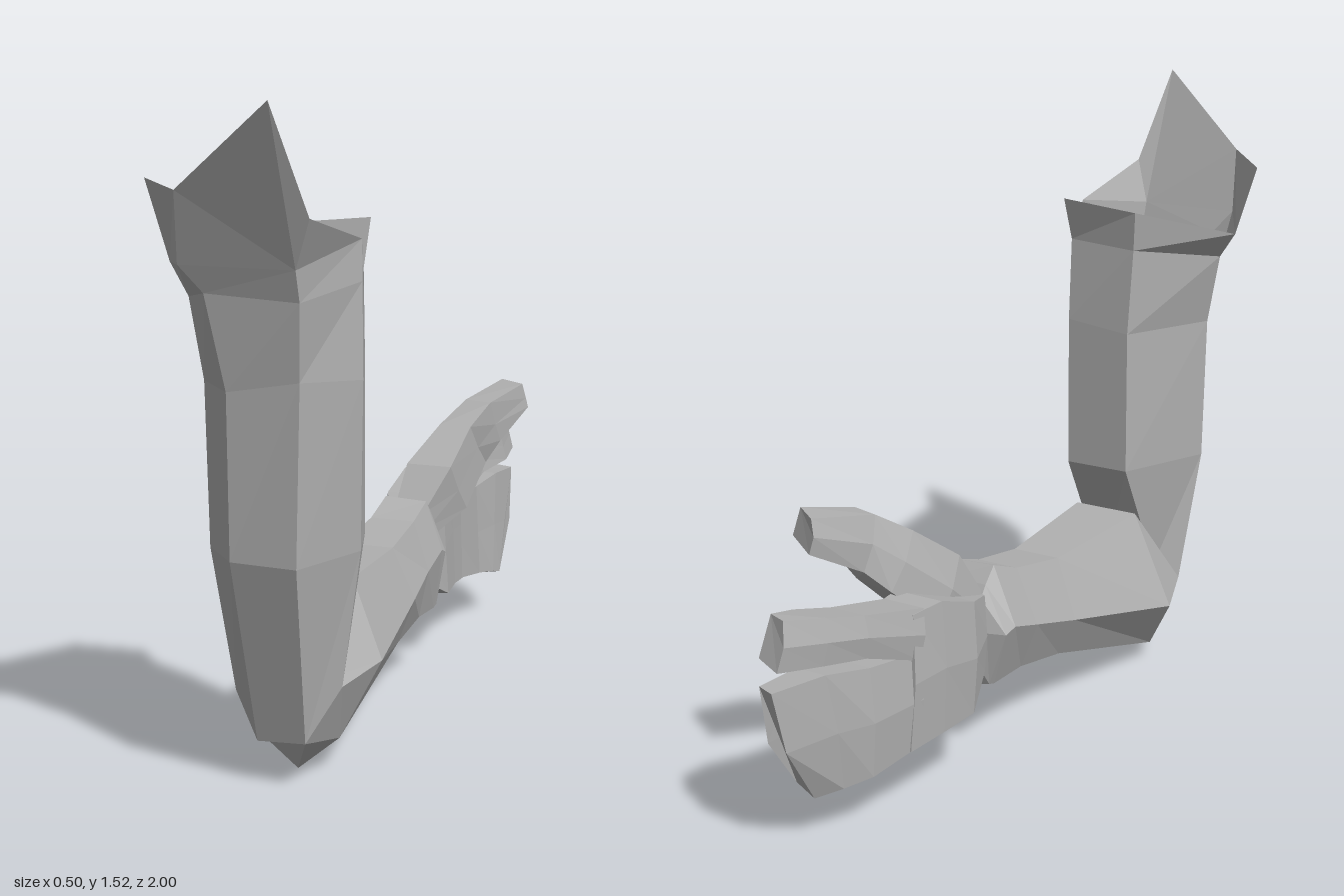
import * as THREE from 'three';

const grey = new THREE.MeshStandardMaterial({ color: 0xb0b0b0, flatShading: true, side: THREE.DoubleSide });
grey.name = 'clay grey';

// Mesh from a list of convex polygons, each a list of [x, y, z] corners
function polyMesh(name, polys) {
  const pos = [];
  for (const p of polys)
    for (let i = 1; i < p.length - 1; i++) pos.push(...p[0], ...p[i], ...p[i + 1]);
  const geo = new THREE.BufferGeometry();
  geo.setAttribute('position', new THREE.Float32BufferAttribute(pos, 3));
  geo.computeVertexNormals();
  const mesh = new THREE.Mesh(geo, grey);
  mesh.name = name;
  return mesh;
}

// Panels between successive rings; skip leaves out one column
function loft(rings, skip = -1) {
  const polys = [];
  for (let r = 0; r < rings.length - 1; r++) {
    const a = rings[r], b = rings[r + 1], n = a.length;
    for (let i = 0; i < n; i++) {
      const j = (i + 1) % n;
      if (i !== skip) polys.push([b[i], b[j], a[j], a[i]]);
    }
  }
  return polys;
}
const endCap = (rings) => [...rings[rings.length - 1]].reverse();

// Finger section: bottom (zb, yb), top (zt, yt), width x0..x1.
// skew pulls the inner side back, bulge pushes the middle forward.
function section([zb, yb, zt, yt, x0, x1, skew = 0, bulge = 0]) {
  const ym = (yb + yt) / 2, zm = (zb + zt) / 2 - bulge, lift = 0.015;
  return [
    [x0 + 0.012, yt, zt], [x0, ym, zm], [x0 + 0.008, yb, zb],
    [x1, yb + lift, zb + skew], [x1 - 0.006, ym, zm + skew], [x1 - 0.012, yt, zt + skew],
  ];
}
function digit(name, rows) {
  const rings = rows.map(section);
  return polyMesh(name, [...loft(rings), endCap(rings)]);
}

export function createModel() {
  const arm = new THREE.Group();
  arm.name = 'arm';

  // Upper arm rings: left, front, front right, right, back right, back left
  const rim = [[-0.19, 1.15, 0.67], [-0.07, 1.17, 0.87], [0.2, 1.17, 0.87], [0.235, 1.21, 0.6], [0.19, 1.24, 0.44], [-0.02, 1.22, 0.45]];
  const collar = [[-0.13, 1.08, 0.7], [-0.02, 1.11, 0.85], [0.2, 1.1, 0.85], [0.24, 1.12, 0.61], [0.185, 1.13, 0.47], [-0.01, 1.12, 0.46]];
  const upper = [[-0.09, 0.9, 0.71], [0.02, 0.9, 0.83], [0.19, 0.93, 0.83], [0.25, 0.91, 0.63], [0.18, 0.92, 0.45], [0, 0.9, 0.45]];
  const lower = [[-0.08, 0.53, 0.71], [0.02, 0.53, 0.82], [0.18, 0.53, 0.83], [0.24, 0.53, 0.62], [0.18, 0.53, 0.45], [0, 0.53, 0.45]];
  const elbow = [[-0.05, 0.19, 0.65], [0.03, 0.1, 0.71], [0.15, 0.11, 0.72], [0.2, 0.22, 0.63], [0.16, 0.23, 0.61], [0, 0.23, 0.6]];
  arm.add(polyMesh('upperArm', loft([upper, lower, elbow])));

  // Open shoulder with a split on the right and torn flaps
  const flapLeft = [-0.255, 1.33, 0.66], flapFront = [-0.05, 1.33, 0.92];
  const peak = [0.2, 1.52, 1.0], flapRight = [0.245, 1.28, 0.9];
  arm.add(polyMesh('tornShoulder', [
    ...loft([rim, collar, upper], 3),
    [upper[3], upper[4], rim[3]],
    [rim[0], rim[1], flapFront, flapLeft],
    [rim[1], rim[2], flapFront],
    [rim[2], peak, flapFront],
    [rim[2], flapRight, peak],
    [rim[2], rim[3], flapRight],
  ]));

  // Forearm rings: left, lower left, bottom, lower right, right, top right, top left
  const forearm = [
    [elbow[0], elbow[1], elbow[2], elbow[2], elbow[3], elbow[4], elbow[5]],
    [[-0.135, 0.18, 0.46], [-0.04, 0.04, 0.52], [0.07, 0, 0.58], [0.155, 0.07, 0.54], [0.23, 0.24, 0.47], [0.15, 0.42, 0.45], [-0.03, 0.42, 0.45]],
    [[-0.09, 0.25, 0.07], [-0.04, 0.15, 0.07], [0.05, 0.13, 0.07], [0.11, 0.16, 0.07], [0.155, 0.275, 0.07], [0.1, 0.4, 0.08], [-0.03, 0.4, 0.08]],
    [[-0.09, 0.29, -0.1], [-0.04, 0.17, -0.1], [0.04, 0.155, -0.1], [0.1, 0.18, -0.1], [0.125, 0.3, -0.1], [0.085, 0.425, -0.1], [-0.03, 0.425, -0.1]],
    [[-0.1, 0.32, -0.21], [-0.05, 0.17, -0.23], [0.03, 0.155, -0.24], [0.09, 0.17, -0.23], [0.12, 0.33, -0.21], [0.08, 0.455, -0.2], [-0.03, 0.46, -0.2]],
    [[-0.1, 0.31, -0.25], [-0.05, 0.175, -0.25], [0.03, 0.155, -0.25], [0.09, 0.175, -0.25], [0.12, 0.32, -0.235], [0.08, 0.42, -0.235], [-0.03, 0.42, -0.235]],
    [[-0.055, 0.31, -0.265], [-0.03, 0.22, -0.265], [0.02, 0.21, -0.265], [0.055, 0.22, -0.265], [0.075, 0.31, -0.26], [0.055, 0.39, -0.255], [-0.03, 0.39, -0.255]],
  ];
  arm.add(polyMesh('forearm', [...loft(forearm), endCap(forearm)]));

  // Palm widens from the wrist
  arm.add(digit('palm', [
    [-0.255, 0.21, -0.25, 0.4, -0.05, 0.065],
    [-0.38, 0.155, -0.37, 0.43, -0.105, 0.075],
    [-0.5, 0.15, -0.5, 0.47, -0.107, 0.05],
    [-0.62, 0.14, -0.6, 0.465, -0.1, 0.035],
  ]));
  // Fingers held together, curving inward
  arm.add(digit('lowerFingers', [
    [-0.58, 0.145, -0.58, 0.37, -0.1, 0.04],
    [-0.74, 0.12, -0.74, 0.38, -0.085, 0.035],
    [-0.81, 0.11, -0.86, 0.395, -0.055, 0.05],
    [-0.87, 0.1, -1, 0.39, -0.02, 0.055, 0.02, 0.035],
  ]));
  arm.add(digit('indexFinger', [
    [-0.58, 0.35, -0.56, 0.47, -0.1, 0.035],
    [-0.75, 0.405, -0.75, 0.505, -0.08, 0.04],
    [-0.87, 0.42, -0.85, 0.525, -0.055, 0.065],
    [-0.99, 0.435, -0.96, 0.545, -0.025, 0.05, 0.02],
  ]));
  arm.add(digit('thumb', [
    [-0.3, 0.33, -0.25, 0.41, -0.04, 0.065],
    [-0.42, 0.38, -0.33, 0.52, -0.035, 0.11],
    [-0.54, 0.48, -0.45, 0.605, 0.01, 0.12],
    [-0.59, 0.535, -0.54, 0.66, 0.05, 0.15, 0.02],
    [-0.735, 0.61, -0.72, 0.69, 0.09, 0.19, 0.055],
  ]));
  return arm;
}
